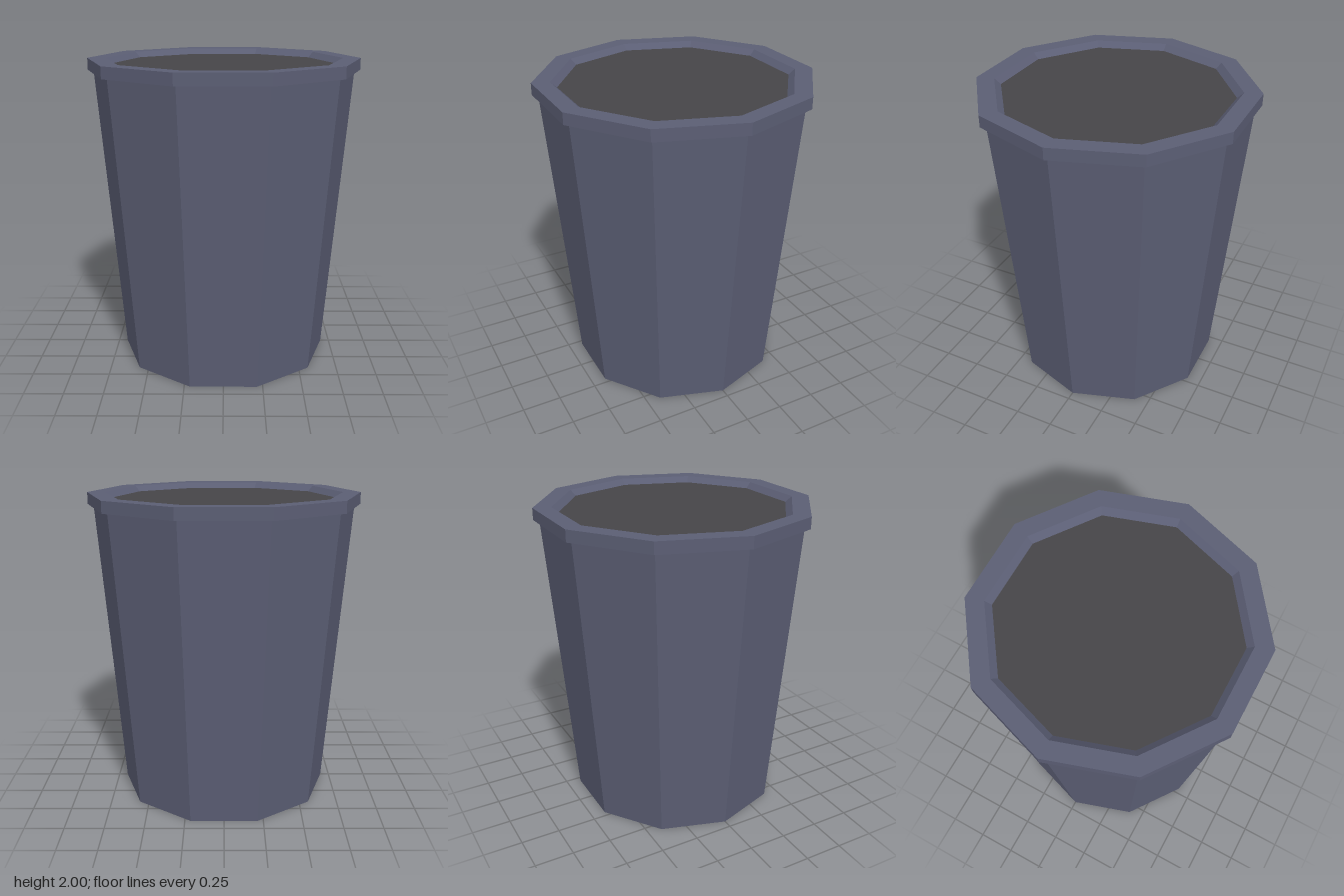
import * as THREE from 'three';

export function createModel() {
  const plastic = new THREE.MeshStandardMaterial({ color: 0x5b5e74, flatShading: true });
  plastic.name = 'slate blue';
  const soil = new THREE.MeshStandardMaterial({ color: 0x464548, flatShading: true });
  soil.name = 'dark grey';

  const group = new THREE.Group();
  group.name = 'pot';

  // Ten-sided revolved part with corners on the x axis
  const addRing = (name, material, profile) => {
    const points = profile.map(([r, y]) => new THREE.Vector2(r, y));
    const mesh = new THREE.Mesh(new THREE.LatheGeometry(points, 10, Math.PI / 2), material);
    mesh.name = name;
    group.add(mesh);
  };

  // Tapered wall with closed base
  addRing('body', plastic, [[0, 0], [0.692, 0], [0.845, 1.925]]);
  // Overhanging lip, with its sloping inner edge
  addRing('rim', plastic, [[0.845, 1.925], [0.882, 1.925], [0.882, 2], [0.768, 2], [0.728, 1.964]]);
  // Flat fill just below the lip
  addRing('fill', soil, [[0.728, 1.964], [0, 1.964]]);

  return group;
}
